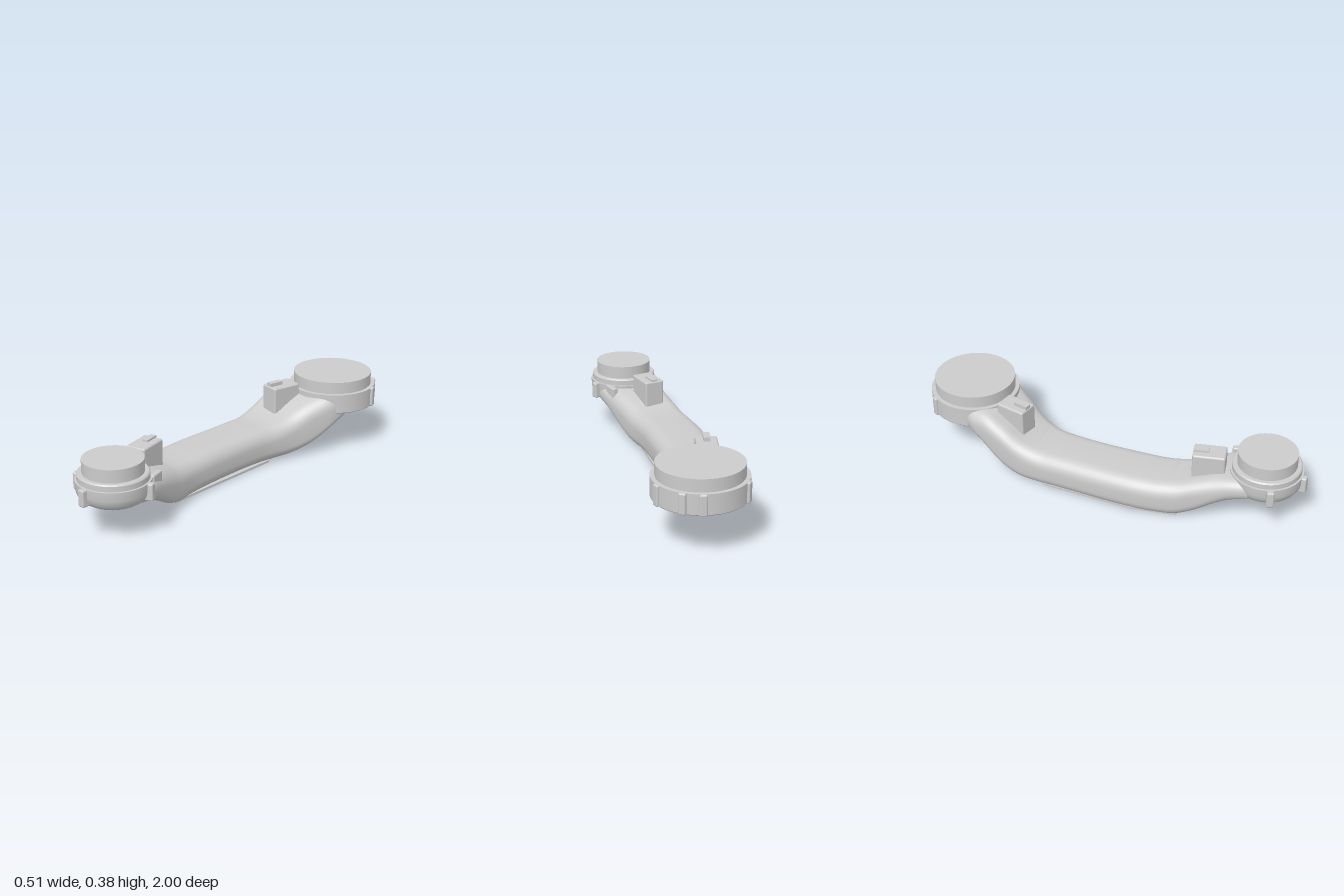
import * as THREE from 'three';
import { toCreasedNormals } from 'three/addons/utils/BufferGeometryUtils.js';
import { RoundedBoxGeometry } from 'three/addons/geometries/RoundedBoxGeometry.js';

const grey = new THREE.MeshStandardMaterial({ color: 0xcccccc });

function add(parent, name, geometry, x = 0, y = 0, z = 0, turn = 0) {
  const mesh = new THREE.Mesh(geometry, grey);
  mesh.name = name;
  mesh.position.set(x, y, z);
  mesh.rotation.y = turn;
  parent.add(mesh);
  return mesh;
}

function turned(points) {
  const profile = points.map(([r, y]) => new THREE.Vector2(r, y));
  return toCreasedNormals(new THREE.LatheGeometry(profile, 56), 0.6);
}

// Arm outline along z: left edge, right edge, underside, top
const armZ = [-0.77, -0.7, -0.6, -0.5, -0.4, -0.3, -0.2, 0.2, 0.32, 0.42, 0.5, 0.6, 0.68, 0.76];
const armRows = [
  [-0.13, 0.17, 0.195, 0.3],
  [-0.195, 0.2, 0.19, 0.314],
  [-0.225, 0.18, 0.13, 0.312],
  [-0.243, 0.13, 0.055, 0.27],
  [-0.255, 0.085, 0.018, 0.215],
  [-0.256, 0.055, 0.01, 0.187],
  [-0.256, 0.04, 0.01, 0.185],
  [-0.256, 0.042, 0.01, 0.185],
  [-0.243, 0.055, 0.01, 0.185],
  [-0.222, 0.08, 0.014, 0.194],
  [-0.2, 0.105, 0.042, 0.218],
  [-0.175, 0.14, 0.1, 0.245],
  [-0.16, 0.168, 0.14, 0.255],
  [-0.143, 0.183, 0.158, 0.255],
];

// Underside openings run from the cover plate (start) toward each end
const openings = [{ start: -0.27, end: -0.64 }, { start: 0.42, end: 0.67 }];

// One closed cross-section; the underside holds the notch of the opening
function section(z, outline, opened) {
  const [xl, xr, yb, yt] = outline.evaluate(z);
  const h = yt - yb, rt = Math.min(0.072, h * 0.48), rb = Math.min(0.056, h * 0.45);
  let depth = 0;
  for (const { start, end } of openings) {
    const u = (z - start) / (end - start);
    if (u >= 0 && u <= 1 && (u > 0.001 || opened)) depth = (h - 0.04) * Math.sqrt(1 - u ** 3);
  }
  const pts = [], l = xl + 0.064, r = xr - 0.064, s = Math.min(0.045, depth * 0.5);
  const arc = (cx, cy, rad, from, to, n = 7) => {
    for (let i = 0; i <= n; i++) {
      const a = (from + (to - from) * i / n) * Math.PI;
      pts.push([cx + rad * Math.cos(a), cy + rad * Math.sin(a), z]);
    }
  };
  pts.push([l, yb, z]);
  arc(l + s, yb + depth - s, s, 1, 0.5, 5);
  arc(r - s, yb + depth - s, s, 0.5, 0, 5);
  pts.push([r, yb, z]);
  arc(xr - rb, yb + rb, rb, -0.5, 0);
  arc(xr - rt, yt - rt, rt, 0, 0.5);
  arc(xl + rt, yt - rt, rt, 0.5, 1);
  arc(xl + rb, yb + rb, rb, 1, 1.5);
  return pts;
}

function armGeometry() {
  const outline = new THREE.CubicInterpolant(armZ, armRows.flat(), 4, new Float32Array(4));
  const rings = [];
  const steps = 100, z0 = armZ[0], z1 = armZ[armZ.length - 1];
  const stations = Array.from({ length: steps + 1 }, (_, i) => ({ z: z0 + (z1 - z0) * i / steps, opened: true }));
  // Paired rings give each opening its upright end wall
  for (const { start } of openings) {
    stations.push({ z: start, opened: start < 0 }, { z: start, opened: start > 0 });
  }
  stations.sort((a, b) => a.z - b.z);
  for (const { z, opened } of stations) rings.push(section(z, outline, opened));

  const n = rings[0].length, index = [];
  for (let i = 0; i < rings.length - 1; i++) {
    for (let j = 0; j < n; j++) {
      const a = i * n + j, b = i * n + (j + 1) % n;
      index.push(a, b, b + n, a, b + n, a + n);
    }
  }
  const geometry = new THREE.BufferGeometry();
  geometry.setAttribute('position', new THREE.Float32BufferAttribute(rings.flat(2), 3));
  geometry.setIndex(index);
  return toCreasedNormals(geometry, 0.7);
}

// Lugs spaced around a housing; angle 0 faces +z, quarter turn faces +x
function addLugs(parent, radius, y, height, angles) {
  for (const a of angles) {
    add(parent, 'lug', new RoundedBoxGeometry(0.036, height, 0.05, 3, 0.008),
      Math.sin(a) * radius, y, Math.cos(a) * radius, a);
  }
}

function addConnector(parent, name, x, z, turn, bottom, top, ridge) {
  const group = new THREE.Group();
  group.name = name;
  group.position.set(x, 0, z);
  group.rotation.y = turn;
  const h = top - bottom, side = Math.sign(-z);
  add(group, 'connectorBlock', new RoundedBoxGeometry(0.105, h, 0.16, 3, 0.01), 0, bottom + h / 2, 0);
  add(group, 'connectorRidge', new THREE.BoxGeometry(0.032, ridge, 0.075), 0, top + ridge / 2, side * 0.041);
  parent.add(group);
}

export function createModel() {
  const model = new THREE.Group();
  model.name = 'controlArm';

  add(model, 'arm', armGeometry());

  // Cover plate under the straight run
  const plate = new THREE.Shape([[-0.228, -0.27], [0.02, -0.27], [0.025, 0.42], [-0.185, 0.42], [-0.228, 0.2]]
    .map(([x, z]) => new THREE.Vector2(x, z)));
  const plateGeometry = new THREE.ExtrudeGeometry(plate, { depth: 0.012, bevelEnabled: false });
  plateGeometry.rotateX(Math.PI / 2);
  add(model, 'coverPlate', plateGeometry, 0, 0.012, 0);

  // Small front joint: rounded cup, clamp ring and cap
  const front = new THREE.Group();
  front.name = 'frontJoint';
  front.position.set(0.023, 0, 0.8);
  add(front, 'cup', turned([[0, 0.154], [0.1, 0.154], [0.13, 0.159], [0.155, 0.175], [0.17, 0.197],
    [0.176, 0.22], [0.177, 0.263], [0.16, 0.263], [0.16, 0.266], [0, 0.266]]));
  add(front, 'clampRing', turned([[0, 0.264], [0.168, 0.264], [0.168, 0.29], [0.162, 0.296], [0, 0.296]]));
  add(front, 'cap', turned([[0, 0.29], [0.144, 0.29], [0.144, 0.36], [0, 0.36]]));
  addLugs(front, 0.175, 0.221, 0.084, [0, 1.97, -1.17]);
  model.add(front);

  // Large rear joint: underside boss, flange and cap
  const rear = new THREE.Group();
  rear.name = 'rearJoint';
  rear.position.set(0.024, 0, -0.766);
  add(rear, 'boss', turned([[0, 0.195], [0.135, 0.195], [0.15, 0.2], [0.16, 0.218], [0, 0.218]]));
  add(rear, 'flange', turned([[0, 0.216], [0.222, 0.216], [0.225, 0.22], [0.225, 0.317], [0, 0.317]]));
  add(rear, 'cap', turned([[0, 0.315], [0.204, 0.315], [0.204, 0.378], [0, 0.378]]));
  addLugs(rear, 0.212, 0.267, 0.102, [1.87, 2.52, 2.93, -2.2]);
  model.add(rear);

  addConnector(model, 'frontConnector', -0.052, 0.535, 0.23, 0.18, 0.335, 0.009);
  addConnector(model, 'rearConnector', -0.088, -0.48, -0.2, 0.19, 0.35, 0.018);

  // Small rib beside the front joint
  add(model, 'jointRib', new RoundedBoxGeometry(0.03, 0.06, 0.08, 3, 0.008), 0.125, 0.235, 0.635, 0.3);

  return model;
}
